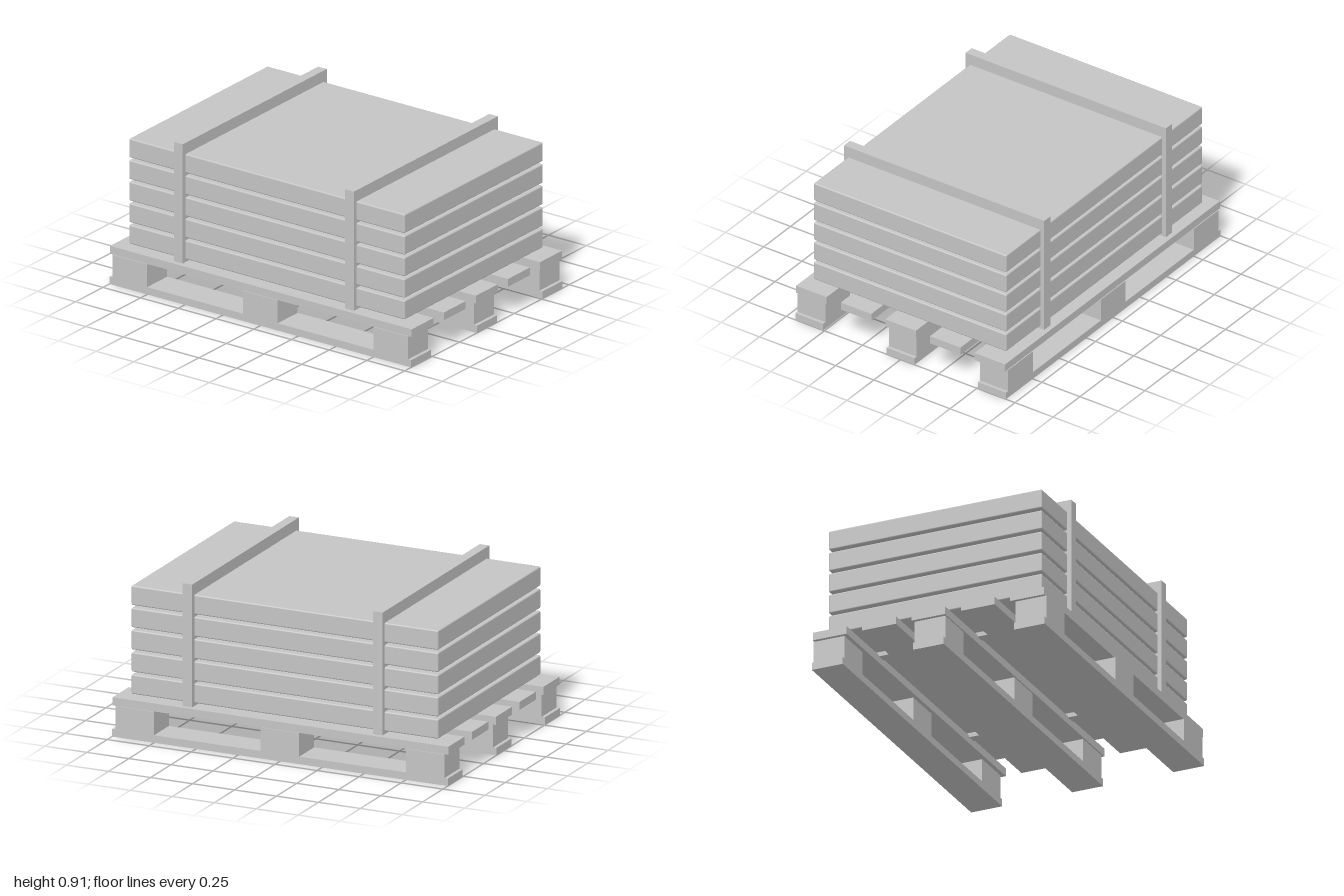
import * as THREE from 'three';
import { RoundedBoxGeometry } from 'three/addons/geometries/RoundedBoxGeometry.js';

export function createModel() {
  const model = new THREE.Group();
  model.name = 'loadedPallet';
  const grey = new THREE.MeshStandardMaterial({ color: 0xc4c4c4 });
  grey.name = 'plain grey';

  const add = (parent, name, geometry, x, y, z) => {
    const mesh = new THREE.Mesh(geometry, grey);
    mesh.name = name;
    mesh.position.set(x, y, z);
    parent.add(mesh);
  };
  const group = (name) => {
    const g = new THREE.Group();
    g.name = name;
    model.add(g);
    return g;
  };

  // Pallet: three skids, each a bottom board carrying three blocks
  const pallet = group('pallet');
  const skidBoard = new THREE.BoxGeometry(2, 0.042, 0.183);
  const block = new THREE.BoxGeometry(0.23, 0.132, 0.183);
  for (const z of [-0.599, 0, 0.599]) {
    add(pallet, 'bottomBoard', skidBoard, 0, 0.021, z);
    for (const x of [-0.865, 0, 0.865]) add(pallet, 'block', block, x, 0.108, z);
  }

  // Five deck boards running the full length
  const deckBoard = new THREE.BoxGeometry(2, 0.045, 0.2);
  for (let i = -2; i <= 2; i++) add(pallet, 'deckBoard', deckBoard, 0, 0.1965, i * 0.2925);

  // Stack of five slabs with softened edges
  const stack = group('slabStack');
  const slab = new RoundedBoxGeometry(1.828, 0.11, 1.264, 2, 0.008);
  for (let i = 0; i < 5; i++) add(stack, 'slab', slab, 0, 0.29 + i * 0.125, 0);

  // Two straps passing around the stack
  const straps = group('straps');
  const strap = new THREE.BoxGeometry(0.057, 0.7, 1.314);
  for (const x of [-0.567, 0.567]) add(straps, 'strap', strap, x, 0.56, 0);

  return model;
}
